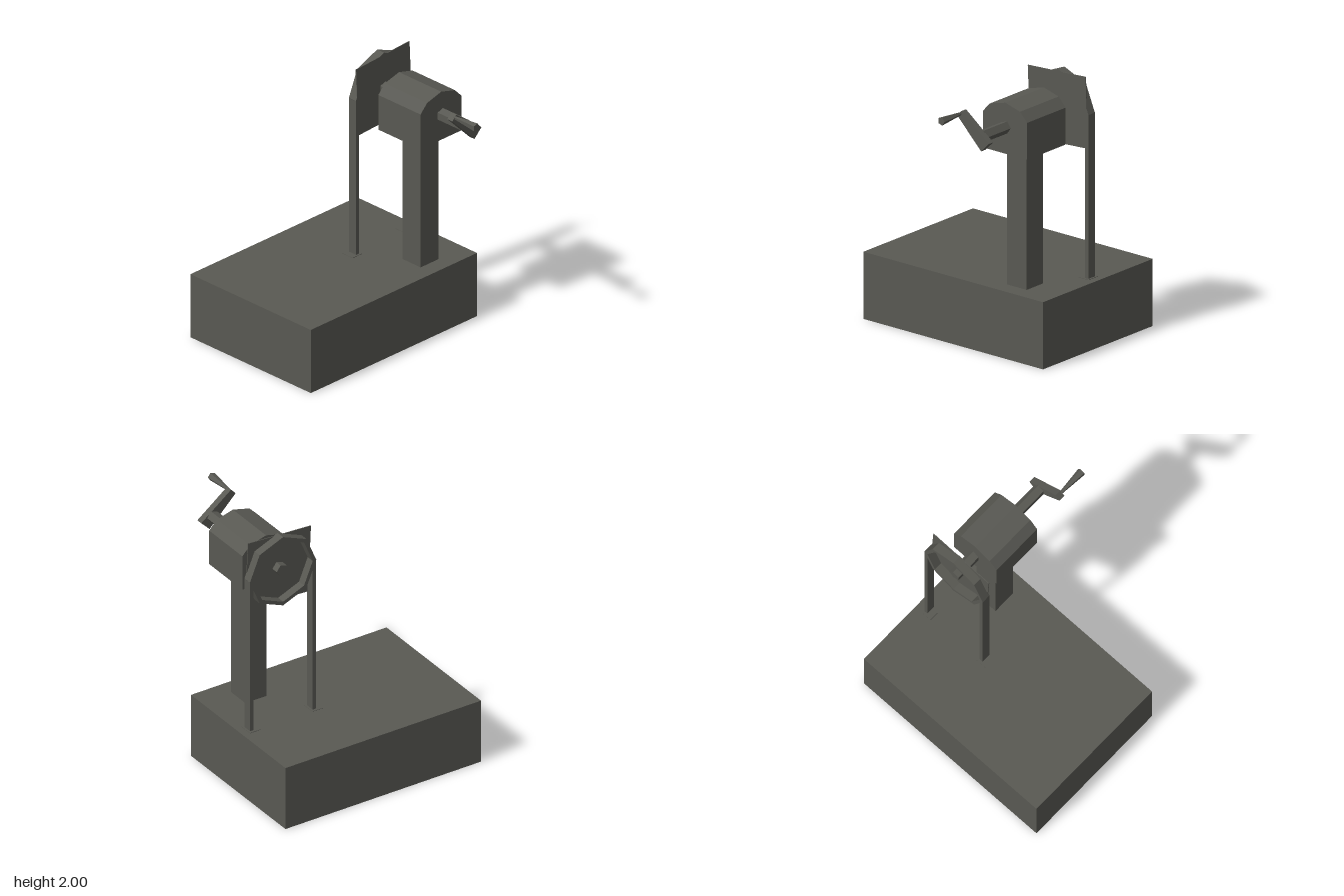
import * as THREE from 'three';

export function createModel() {
  const model = new THREE.Group();
  const darkGrey = new THREE.MeshStandardMaterial({ color: 0x595953, flatShading: true, side: THREE.DoubleSide });
  darkGrey.name = 'dark grey';

  const add = (name, geometry, x = 0, y = 0, z = 0) => {
    const mesh = new THREE.Mesh(geometry, darkGrey);
    mesh.name = name;
    mesh.position.set(x, y, z);
    model.add(mesh);
    return mesh;
  };
  // Box given by its limits on each axis
  const box = (name, x0, x1, y0, y1, z0, z1) =>
    add(name, new THREE.BoxGeometry(x1 - x0, y1 - y0, z1 - z0), (x0 + x1) / 2, (y0 + y1) / 2, (z0 + z1) / 2);
  const outline = (points) => new THREE.Shape(points.map(([x, y]) => new THREE.Vector2(x, y)));
  // Flat outline extruded along z
  const slab = (name, shape, z0, z1) =>
    add(name, new THREE.ExtrudeGeometry(shape, { depth: z1 - z0, bevelEnabled: false }), 0, 0, z0);
  // Five-sided rod along z, with one corner towards +x
  const rod = (name, x, y, z0, z1, backRadius, frontRadius) => {
    const geometry = new THREE.CylinderGeometry(frontRadius, backRadius, z1 - z0, 5, 1, false, Math.PI / 2);
    geometry.rotateX(Math.PI / 2);
    return add(name, geometry, x, y, (z0 + z1) / 2);
  };
  const octagon = (cx, cy, r) => {
    const points = [];
    for (let i = 0; i < 8; i++) {
      const a = (i * Math.PI) / 4;
      points.push([cx + r * Math.cos(a), cy + r * Math.sin(a)]);
    }
    return points;
  };

  const cx = 0.478, cy = 1.722;

  // Hollow base, open underneath
  const base = box('base', -0.825, 0.825, 0, 0.5, -0.85, 0.345).geometry;
  const index = Array.from(base.index.array);
  index.splice(18, 6);
  base.setIndex(index);
  base.clearGroups();

  // Post and crank housing
  box('post', 0.39, 0.57, 0.5, 1.53, 0.04, 0.22);
  slab('housing', outline([
    [0.27, 1.525], [0.675, 1.525], [0.675, 1.8], [0.61, 1.868], [0.475, 1.905], [0.335, 1.868], [0.27, 1.8],
  ]), -0.08, 0.34);

  // Axle, crank arm and flared handle
  rod('axle', cx, 1.725, -0.29, 0.6, 0.047, 0.047);
  slab('crankArm', outline([[0.285, 1.85], [0.505, 1.63], [0.575, 1.7], [0.325, 1.89]]), 0.59, 0.64);
  rod('crankHandle', 0.315, 1.868, 0.63, 0.85, 0.011, 0.032);

  // Square guard plate, slightly tilted, in front of the wheel
  slab('guardPlate', outline([[0.225, 1.44], [0.755, 1.47], [0.73, 2], [0.2, 1.97]]), -0.236, -0.23);

  // Wheel rim with a recessed face
  const rim = outline(octagon(cx, cy, 0.28));
  rim.holes.push(new THREE.Path(octagon(cx, cy, 0.25).map(([x, y]) => new THREE.Vector2(x, y))));
  slab('wheelRim', rim, -0.3, -0.23);

  // Belt runs passing down through the base
  box('rightBelt', 0.199, 0.228, 0.33, cy, -0.3, -0.23);
  box('leftBelt', 0.728, 0.757, 0.04, cy, -0.3, -0.23);

  // Thin square collars around the belts
  for (const x of [0.197, 0.725]) box('beltCollar', x - 0.046, x + 0.046, 0.499, 0.503, -0.32, -0.215);

  return model;
}
